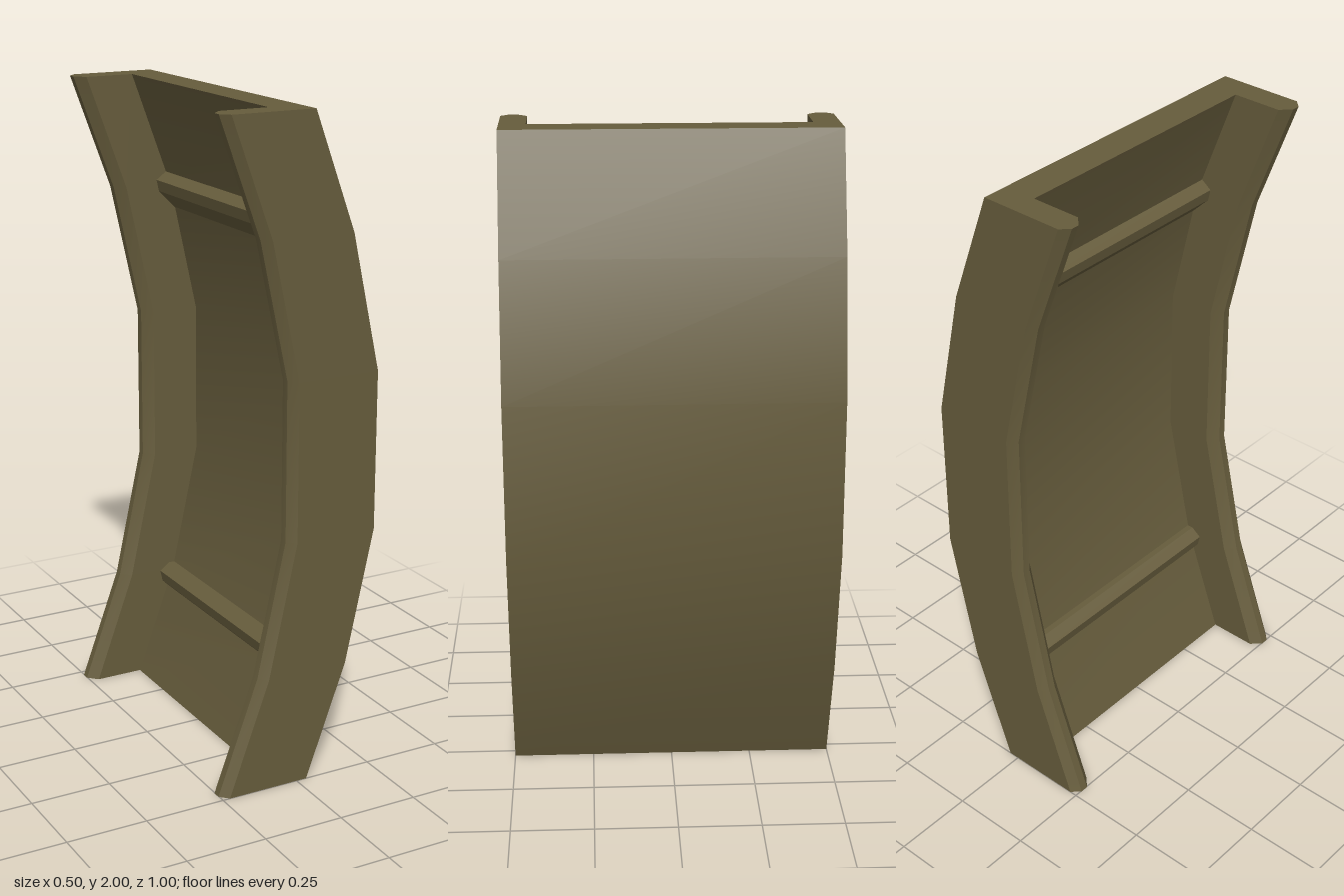
import * as THREE from 'three';

// outer edge of the curve, bottom to top: [x, y]
const PATH = [[0.033, 0], [0.162, 0.35], [0.252, 0.76], [0.252, 1.24], [0.162, 1.65], [0.033, 2]];

// half of the channel section: [x offset from the outer face, z]
const HALF = [[0, 0.5], [-0.26, 0.5], [-0.285, 0.475], [-0.285, 0.45], [-0.255, 0.42], [-0.102, 0.42]];
const SECTION = [...HALF, ...HALF.map(([x, z]) => [x, -z]).reverse()];

// Sweeps the section along the path: smooth along the curve, sharp across the section
function channelGeometry() {
  const pos = [], index = [];
  const add = ([px, y], [dx, z]) => pos.push(px + dx, y, z) / 3 - 1;

  SECTION.forEach((p, i) => {
    const q = SECTION[(i + 1) % SECTION.length];
    const rows = PATH.map(s => [add(s, p), add(s, q)]);
    for (let k = 0; k < rows.length - 1; k++) {
      const [a, d] = rows[k], [b, c] = rows[k + 1];
      index.push(a, b, d, b, c, d);
    }
  });

  // end caps
  const faces = THREE.ShapeUtils.triangulateShape(SECTION.map(p => new THREE.Vector2(...p)), []);
  [PATH[0], PATH[PATH.length - 1]].forEach((station, top) => {
    const ids = SECTION.map(p => add(station, p));
    for (const [a, b, c] of faces) {
      if (top) index.push(ids[a], ids[c], ids[b]);
      else index.push(ids[a], ids[b], ids[c]);
    }
  });

  const g = new THREE.BufferGeometry();
  g.setAttribute('position', new THREE.Float32BufferAttribute(pos, 3));
  g.setIndex(index);
  g.computeVertexNormals();
  return g;
}

export function createModel() {
  const group = new THREE.Group();
  group.name = 'curvedChannelPanel';
  const olive = new THREE.MeshStandardMaterial({ color: 0x665c3c });
  olive.name = 'olive';

  const channel = new THREE.Mesh(channelGeometry(), olive);
  channel.name = 'curvedChannel';
  group.add(channel);

  // bevelled cross ribs on the inner face
  const profile = [[0.1, 0.03], [0.045, 0.03], [0.012, 0.006], [0.02, -0.03], [0.075, -0.085], [0.1, -0.085]];
  const shape = new THREE.Shape(profile.map(p => new THREE.Vector2(...p)));
  const ribGeometry = new THREE.ExtrudeGeometry(shape, { depth: 0.86, bevelEnabled: false });
  ribGeometry.translate(0, 0, -0.43);
  for (const [name, y] of [['lowerRib', 0.34], ['upperRib', 1.66]]) {
    const rib = new THREE.Mesh(ribGeometry, olive);
    rib.name = name;
    rib.position.y = y;
    group.add(rib);
  }
  return group;
}
